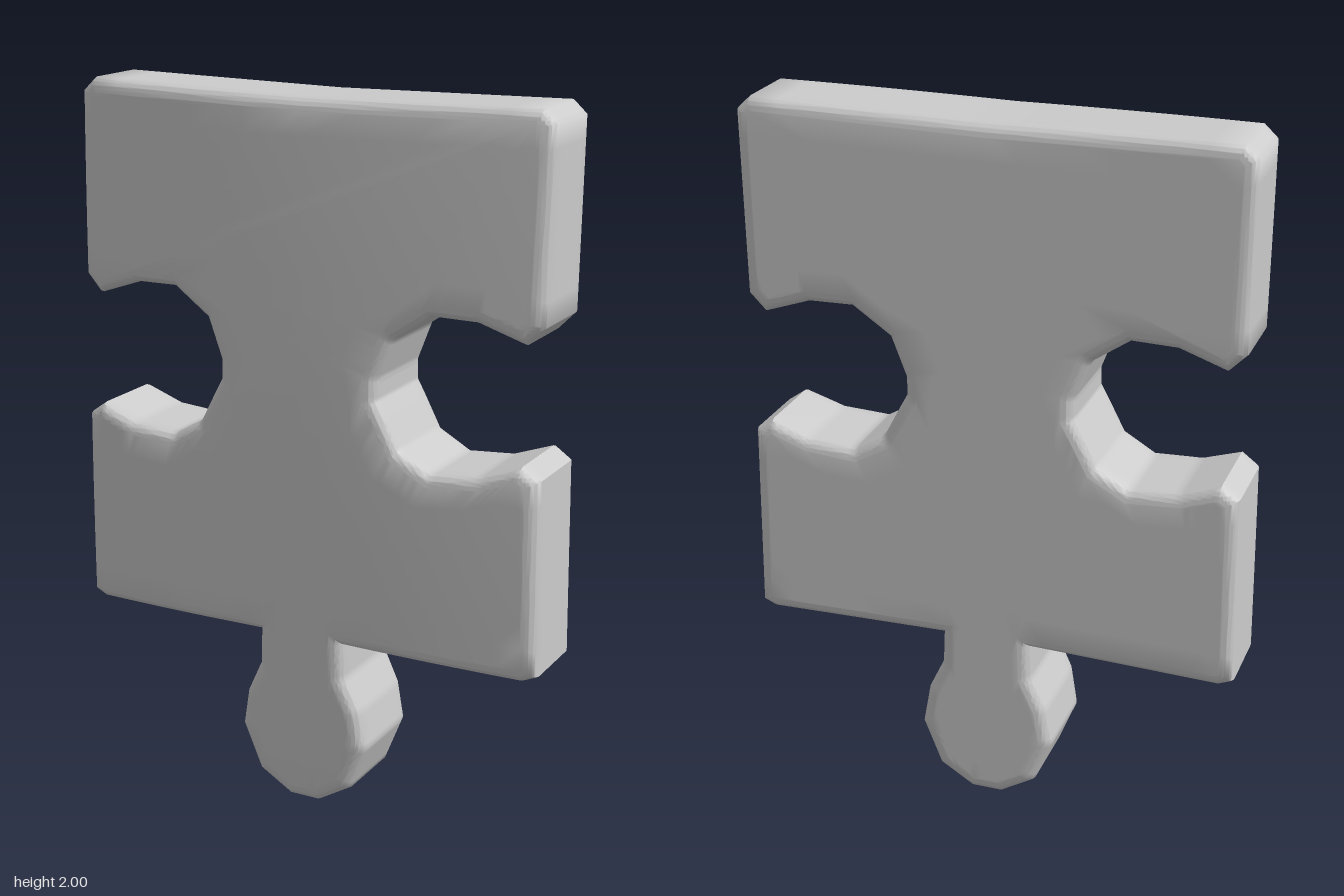
import * as THREE from 'three';
import { toCreasedNormals } from 'three/addons/utils/BufferGeometryUtils.js';

const HALF = 0.15;   // half thickness
const BEVEL = 0.035; // rounded rim

// Right half of the knob, from the bottom up
const knob = [[0.045, 0], [0.143, 0.06], [0.197, 0.195], [0.178, 0.305], [0.134, 0.4], [0.13, 0.5]];
// Right half of the body with its round socket, from the bottom up
const body = [
  [0.66, 0.488], [0.7, 0.505], [0.692, 1.05], [0.642, 1.085], [0.53, 1.045], [0.395, 1.035],
  [0.307, 1.085], [0.26, 1.175], [0.238, 1.215], [0.238, 1.27], [0.28, 1.38], [0.386, 1.453],
  [0.513, 1.45], [0.643, 1.405], [0.692, 1.455], [0.698, 1.965], [0.66, 2.0],
];

// Closed outline; the knob sits slightly off the middle
function outline() {
  const half = (s) => [
    ...knob.map(([x, y]) => new THREE.Vector2(s * x + 0.01, y)),
    ...body.map(([x, y]) => new THREE.Vector2(s * x, y)),
  ];
  return new THREE.Shape([...half(1), new THREE.Vector2(0, 1.99), ...half(-1).reverse()]);
}

// Split every triangle into four, so that the faces can bend
function subdivide(positions) {
  const out = [];
  for (let i = 0; i < positions.length; i += 9) {
    const [a, b, c] = [0, 3, 6].map((k) => new THREE.Vector3().fromArray(positions, i + k));
    const ab = a.clone().lerp(b, 0.5);
    const bc = b.clone().lerp(c, 0.5);
    const ca = c.clone().lerp(a, 0.5);
    for (const p of [a, ab, ca, ab, b, bc, ca, bc, c, ab, bc, ca]) out.push(p.x, p.y, p.z);
  }
  return out;
}

function pieceGeometry() {
  const slab = new THREE.ExtrudeGeometry(outline(), {
    depth: 2 * (HALF - BEVEL), steps: 1,
    bevelEnabled: true, bevelThickness: BEVEL, bevelSize: BEVEL, bevelOffset: -BEVEL, bevelSegments: 3,
  });
  slab.translate(0, 0, BEVEL - HALF);
  let positions = Array.from(slab.attributes.position.array);
  for (let level = 0; level < 3; level++) positions = subdivide(positions);

  // Dome the front and keep the back flat
  for (let i = 0; i < positions.length; i += 3) {
    const u = positions[i] / 0.7;
    const v = (positions[i + 1] - 0.95) / 1.05;
    const t = (positions[i + 2] + HALF) / (2 * HALF);
    positions[i + 2] -= t * (0.035 * u * u + 0.03 * v * v);
  }
  const geometry = new THREE.BufferGeometry();
  geometry.setAttribute('position', new THREE.Float32BufferAttribute(positions, 3));
  return toCreasedNormals(geometry, 0.9);
}

export function createModel() {
  const group = new THREE.Group();
  group.name = 'puzzlePiece';
  const piece = new THREE.Mesh(pieceGeometry(), new THREE.MeshStandardMaterial({ color: 0xcccccc }));
  piece.name = 'pieceBody';
  group.add(piece);
  return group;
}
